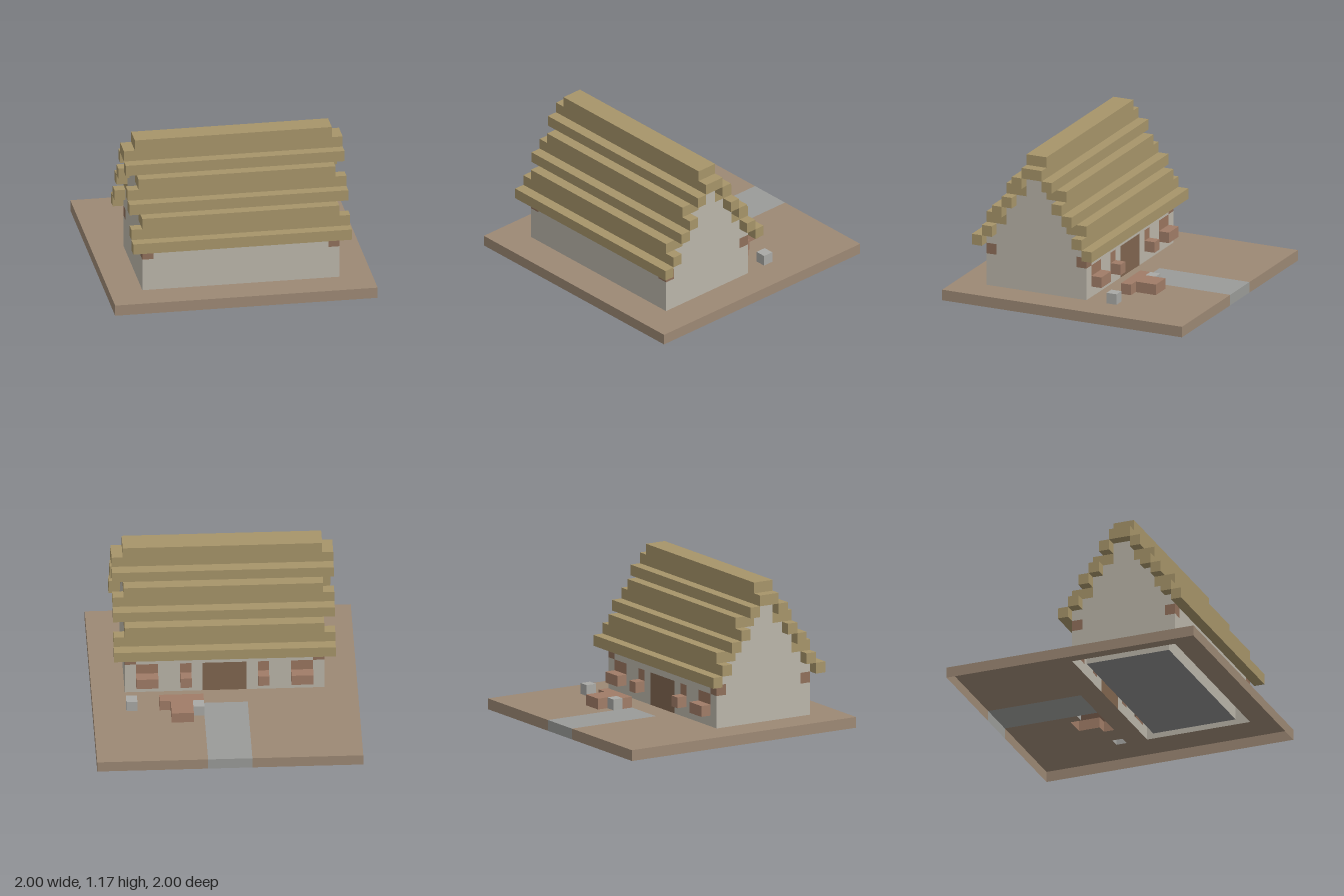
import * as THREE from 'three';

const U = 1 / 12; // edge of one block; the plot is 24 x 24 blocks

// Six block faces: outward normal and the two edge directions (a x b = n)
const FACES = [
  { n: [1, 0, 0], a: [0, 1, 0], b: [0, 0, 1] },
  { n: [-1, 0, 0], a: [0, 0, 1], b: [0, 1, 0] },
  { n: [0, 1, 0], a: [0, 0, 1], b: [1, 0, 0] },
  { n: [0, -1, 0], a: [1, 0, 0], b: [0, 0, 1] },
  { n: [0, 0, 1], a: [1, 0, 0], b: [0, 1, 0] },
  { n: [0, 0, -1], a: [0, 1, 0], b: [1, 0, 0] },
];

const COLORS = {
  ground: 0x9c8874, path: 0x9a9b98, floor: 0x8a8a8a, walls: 0xbab5a9,
  cornerBeams: 0x8f6f5a, windows: 0x9a755f, door: 0x80654f, roof: 0xa69469,
  windowBoxes: 0xa07c67, bench: 0xa07c67, stones: 0xa9a9a5,
};

export function createModel() {
  const cells = new Map();
  const key = (x, y, z) => `${x},${y},${z}`;

  // Fill a range of blocks; a later part replaces an earlier one
  const fill = (part, x0, x1, y0, y1, z0, z1) => {
    for (let x = x0; x < x1; x++)
      for (let y = y0; y < y1; y++)
        for (let z = z0; z < z1; z++) cells.set(key(x, y, z), { part, p: [x, y, z] });
  };
  // The same, mirrored left to right
  const fillPair = (part, x0, x1, ...rest) => {
    fill(part, x0, x1, ...rest);
    fill(part, -x1, -x0, ...rest);
  };

  // Plot, path and indoor floor
  fill('ground', -12, 12, 0, 1, -12, 12);
  fill('path', -2, 2, 0, 1, -12, -3);
  fill('floor', -8, 8, 0, 1, 0, 8);

  // Long walls and end walls
  for (const z of [-1, 8]) fill('walls', -9, 9, 1, 6, z, z + 1);
  fillPair('walls', 8, 9, 1, 6, -1, 9);

  // Stepped gables: [y, inset from the wall line]
  for (const [y, inset] of [[6, 1], [7, 2], [8, 2], [9, 3], [10, 4], [11, 4]])
    fillPair('walls', 8, 9, y, y + 1, -1 + inset, 9 - inset);

  // Beam ends at the four corners
  for (const z of [-1, 8]) fillPair('cornerBeams', 8, 9, 4, 5, z, z + 1);

  // Door and windows in the entrance wall, boxes below the windows
  fill('door', -2, 2, 1, 4, -1, 0);
  for (const [x0, x1] of [[3, 4], [6, 8]]) {
    fillPair('windows', x0, x1, 3, 4, -1, 0);
    fillPair('windowBoxes', x0, x1, 2, 3, -2, -1);
  }

  // Thatch courses: [y, z start, z end, half length], mirrored about the ridge
  const courses = [
    [5, 9, 10, 10], [6, 8, 9, 10], [7, 7, 9, 9], [8, 7, 8, 10], [9, 6, 7, 10],
    [10, 5, 7, 9], [11, 5, 6, 10], [12, 4, 5, 10], [13, 4, 5, 9],
  ];
  for (const [y, z0, z1, h] of courses) {
    fill('roof', -h, h, y, y + 1, z0, z1);
    fill('roof', -h, h, y, y + 1, 8 - z1, 8 - z0);
  }

  // Bench and loose stones in the yard
  fill('bench', 3, 5, 1, 2, -6, -3);
  fill('bench', 2, 6, 1, 2, -4, -3);
  fill('stones', 2, 3, 1, 2, -5, -4);
  fill('stones', 8, 9, 1, 2, -4, -3);

  // Collect the exposed faces of each part; the underside stays open
  const quads = {};
  for (const { part, p } of cells.values()) {
    const out = (quads[part] ??= { pos: [], nor: [], idx: [] });
    for (const { n, a, b } of FACES) {
      if (cells.has(key(p[0] + n[0], p[1] + n[1], p[2] + n[2]))) continue;
      if (n[1] < 0 && p[1] === 0) continue;
      const start = out.pos.length / 3;
      for (const [s, t] of [[0, 0], [1, 0], [1, 1], [0, 1]]) {
        for (let i = 0; i < 3; i++)
          out.pos.push((p[i] + Math.max(n[i], 0) + s * a[i] + t * b[i]) * U);
        out.nor.push(...n);
      }
      out.idx.push(start, start + 1, start + 2, start, start + 2, start + 3);
    }
  }

  // One mesh per part
  const group = new THREE.Group();
  group.name = 'thatchedCottage';
  for (const [part, { pos, nor, idx }] of Object.entries(quads)) {
    const geometry = new THREE.BufferGeometry();
    geometry.setAttribute('position', new THREE.Float32BufferAttribute(pos, 3));
    geometry.setAttribute('normal', new THREE.Float32BufferAttribute(nor, 3));
    geometry.setIndex(idx);
    const mesh = new THREE.Mesh(geometry, new THREE.MeshStandardMaterial({
      color: COLORS[part], side: THREE.DoubleSide,
    }));
    mesh.name = part;
    group.add(mesh);
  }
  return group;
}
